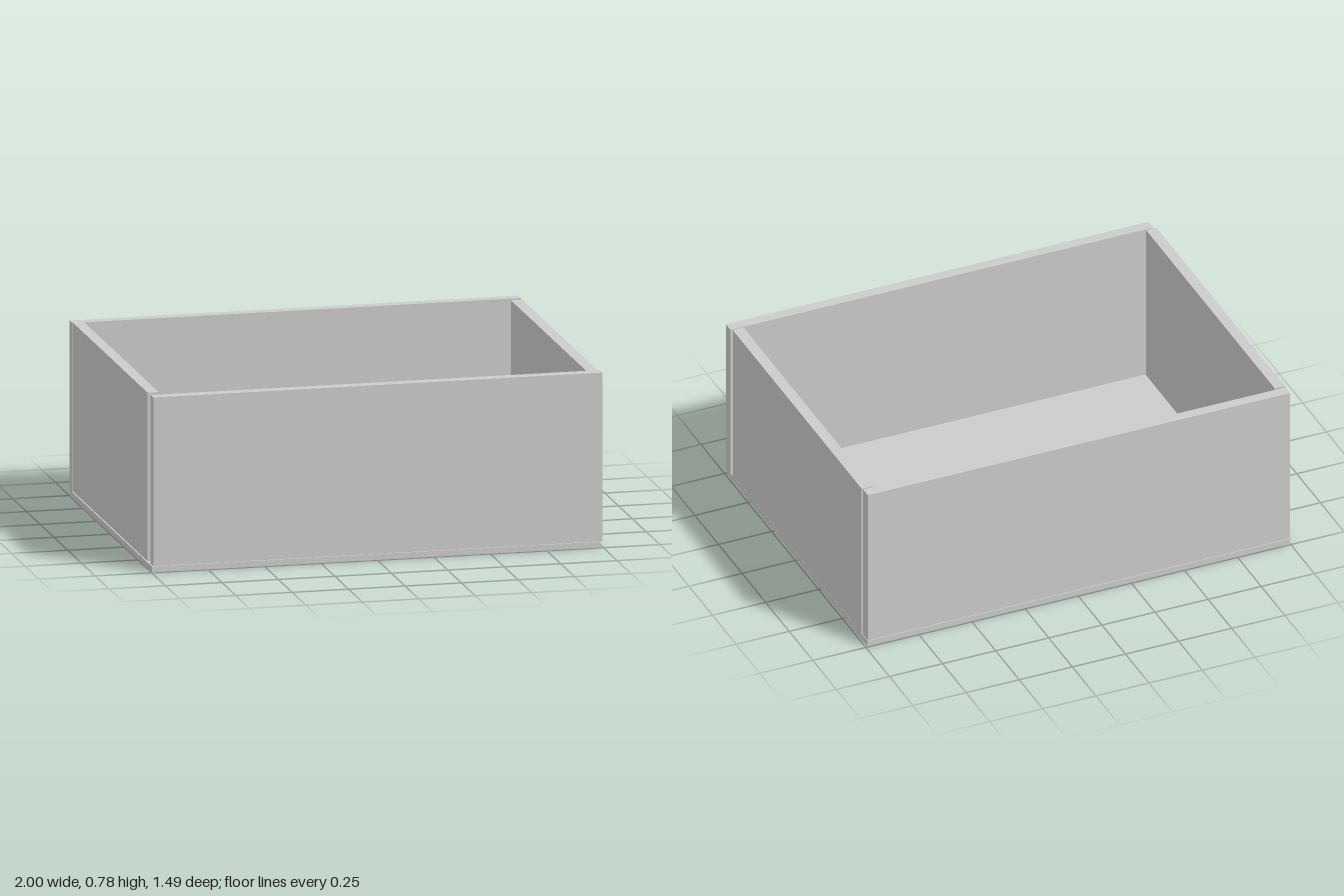
import * as THREE from 'three';

export function createModel() {
  const group = new THREE.Group();
  const material = new THREE.MeshStandardMaterial({ color: 0xcccccc, flatShading: true });

  // Adds a box given its [min, max] extent along each axis
  function addBox(name, [x0, x1], [y0, y1], [z0, z1]) {
    const mesh = new THREE.Mesh(new THREE.BoxGeometry(x1 - x0, y1 - y0, z1 - z0), material);
    mesh.name = name;
    mesh.position.set((x0 + x1) / 2, (y0 + y1) / 2, (z0 + z1) / 2);
    group.add(mesh);
  }

  // Bottom board
  addBox('basePanel', [-0.998, 0.989], [0, 0.026], [-0.744, 0.744]);

  // Four loosely placed side boards, each slightly out of line with the others
  addBox('frontPanel', [-0.991, 0.998], [0.027, 0.772], [0.691, 0.741]);
  addBox('backPanel', [-1, 0.988], [0.029, 0.775], [-0.744, -0.695]);
  addBox('rightPanel', [-1, -0.951], [0.034, 0.779], [-0.689, 0.675]);
  addBox('leftPanel', [0.939, 0.989], [0.027, 0.771], [-0.681, 0.687]);

  // Small cube inside, by the back board
  addBox('innerBlock', [-0.13, 0.118], [0.055, 0.303], [-0.685, -0.437]);

  return group;
}
